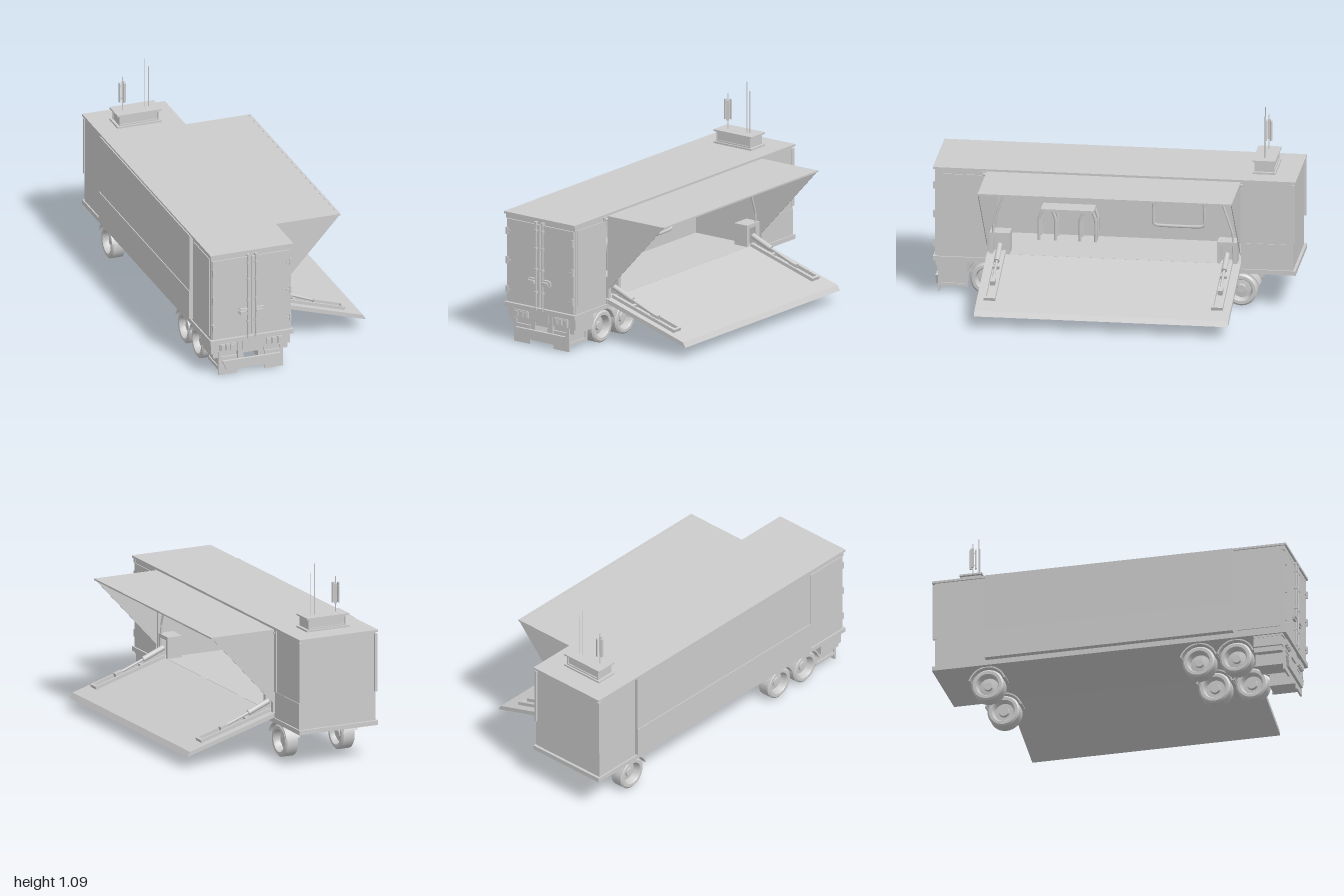
import * as THREE from 'three';
import { toCreasedNormals } from 'three/addons/utils/BufferGeometryUtils.js';

const grey = new THREE.MeshStandardMaterial({ color: 0xcccccc });
const thin = new THREE.MeshStandardMaterial({ color: 0xcccccc, side: THREE.DoubleSide });
const V = (x, y, z) => new THREE.Vector3(x, y, z);
const MID = -0.26; // centre line of the body in x

function add(parent, name, geo, mat = grey) {
  const m = new THREE.Mesh(geo, mat);
  m.name = name;
  parent.add(m);
  return m;
}
// box given by its bounds
function box(parent, name, x0, x1, y0, y1, z0, z1) {
  const g = new THREE.BoxGeometry(x1 - x0, y1 - y0, z1 - z0);
  g.translate((x0 + x1) / 2, (y0 + y1) / 2, (z0 + z1) / 2);
  return add(parent, name, g);
}
// the same box on both sides of the body's centre line
function pair(parent, name, x0, x1, ...r) {
  box(parent, name, x0, x1, ...r);
  box(parent, name, 2 * MID - x1, 2 * MID - x0, ...r);
}
function rod(parent, name, a, b, r, sides = 10) {
  const d = b.clone().sub(a);
  const m = add(parent, name, new THREE.CylinderGeometry(r, r, d.length(), sides));
  m.position.copy(a).add(b).multiplyScalar(0.5);
  m.quaternion.setFromUnitVectors(V(0, 1, 0), d.normalize());
}
function tube(parent, name, pts, r, closed = false) {
  const c = new THREE.CatmullRomCurve3(pts, closed, 'catmullrom', 0.3);
  add(parent, name, new THREE.TubeGeometry(c, 40, r, 6, closed));
}
// outline in x,y drawn out along z
function prism(parent, name, pts, z0, z1, mat = grey) {
  const s = new THREE.Shape(pts.map(p => new THREE.Vector2(...p)));
  const g = new THREE.ExtrudeGeometry(s, { depth: z1 - z0, bevelEnabled: false });
  return add(parent, name, g.translate(0, 0, z0), mat);
}

function buildBody(g) {
  box(g, 'roof', -0.5, -0.02, 0.72, 0.732, -1, 0.985);
  box(g, 'floor', -0.5, -0.02, 0.197, 0.222, -1, 0.985);
  box(g, 'rearCompartment', -0.492, -0.028, 0.22, 0.72, -0.985, -0.7);
  box(g, 'frontCompartment', -0.492, -0.028, 0.22, 0.72, 0.69, 0.965);
  box(g, 'farWall', -0.492, -0.47, 0.22, 0.72, -0.7, 0.69);
  prism(g, 'farSidePanel', [[-0.516, 0.235], [-0.492, 0.23], [-0.492, 0.718], [-0.512, 0.728],
    [-0.511, 0.4], [-0.516, 0.4]], -0.7, 0.69);
  box(g, 'farSideDoor', -0.497, -0.49, 0.24, 0.7, 0.71, 0.95);
  box(g, 'openingHeader', -0.05, -0.026, 0.665, 0.72, -0.7, 0.69);
  box(g, 'openingSill', -0.05, -0.022, 0.222, 0.25, -0.7, 0.69);
  box(g, 'frontSidePanel', -0.03, -0.022, 0.265, 0.695, 0.705, 0.95);
  box(g, 'rearSidePanel', -0.03, -0.024, 0.225, 0.37, -0.985, -0.7);
  box(g, 'rearSidePost', -0.03, -0.02, 0.37, 0.72, -0.72, -0.7);
  pair(g, 'rearCornerBar', -0.497, -0.483, 0.385, 0.71, -0.996, -0.975);
  for (const z of [0.68, 0, -0.68]) {
    box(g, 'canopyHinge', -0.03, -0.019, 0.692, 0.716, z - 0.038, z + 0.038);
    for (const s of [-1, 1])
      rod(g, 'hingePin', V(-0.02, 0.703, z + s * 0.012), V(-0.02, 0.703, z + s * 0.03), 0.007);
  }
}

function buildDoors(g) {
  box(g, 'doorHeader', -0.495, -0.025, 0.695, 0.72, 0.96, 0.975);
  pair(g, 'doorLeaf', -0.487, -0.264, 0.225, 0.692, 0.96, 0.976);
  for (const y of [0.295, 0.46, 0.625]) {
    pair(g, 'doorHinge', -0.488, -0.477, y - 0.02, y + 0.02, 0.962, 0.986);
    pair(g, 'hingeStrap', -0.477, -0.462, y - 0.004, y + 0.004, 0.97, 0.982);
  }
  for (const s of [-1, 1]) {
    const x = MID + s * 0.023;
    rod(g, 'lockingBar', V(x, 0.21, 0.985), V(x, 0.71, 0.985), 0.005);
    for (const y of [0.22, 0.31, 0.44, 0.56, 0.66, 0.705])
      box(g, 'barGuide', x - 0.007, x + 0.007, y - 0.006, y + 0.006, 0.974, 0.994);
    const p = MID + s * 0.047;
    for (const y of [0.353, 0.38]) box(g, 'lockPlate', p - 0.022, p + 0.022, y, y + 0.009, 0.974, 0.99);
    box(g, 'lockPlate', p + s * 0.022 - 0.007, p + s * 0.022 + 0.007, 0.36, 0.382, 0.974, 0.988);
    box(g, 'lockHandle', p - 0.026, p + 0.014, 0.364, 0.377, 0.974, 0.997);
  }
}

function buildBumper(g) {
  box(g, 'lightBar', -0.49, -0.03, 0.185, 0.197, 0.8, 0.965);
  pair(g, 'lightHousing', -0.488, -0.335, 0.133, 0.19, 0.8, 0.96);
  pair(g, 'stepBox', -0.475, -0.34, 0.105, 0.133, 0.8, 0.955);
  pair(g, 'sideBox', -0.44, -0.335, 0.035, 0.108, 0.81, 0.955);
  // frame around the side locker
  for (const y of [0.035, 0.125]) pair(g, 'lockerRail', -0.447, -0.43, y, y + 0.018, 0.8, 0.965);
  for (const z of [0.8, 0.95]) pair(g, 'lockerPost', -0.447, -0.43, 0.035, 0.135, z, z + 0.015);
  pair(g, 'mudFlap', -0.447, -0.34, 0.005, 0.11, 0.955, 0.965);
  for (let i = 0; i < 3; i++) {
    const x = -0.425 + i * 0.031;
    pair(g, 'lampRim', x - 0.014, x + 0.014, 0.147, 0.187, 0.955, 0.972);
    pair(g, 'lamp', x - 0.01, x + 0.01, 0.152, 0.182, 0.965, 0.978);
  }
  box(g, 'plateHolder', -0.307, -0.213, 0.137, 0.197, 0.955, 0.97);
  box(g, 'plateCrossbar', -0.335, -0.185, 0.116, 0.137, 0.945, 0.96);
  pair(g, 'bumperBracket', -0.335, -0.303, 0.085, 0.19, 0.94, 0.965);
  prism(g, 'bumper', [[-0.405, 0.035], [-0.115, 0.035], [-0.092, 0.09], [-0.428, 0.09]], 0.965, 0.98);
}

function buildWheels(g) {
  // tyre with a rim dished on both faces, drawn from the inner hub to the outer one
  const profile = [[0, -0.028], [0.026, -0.028], [0.03, -0.012], [0.052, -0.012], [0.058, -0.032], [0.064, -0.04],
    [0.08, -0.04], [0.09, -0.032], [0.09, 0.032], [0.08, 0.04], [0.064, 0.04], [0.058, 0.03], [0.053, 0],
    [0.025, 0.004], [0.022, 0.018], [0, 0.018]];
  const lathe = new THREE.LatheGeometry(profile.map(p => new THREE.Vector2(...p)), 32);
  const arc = new THREE.Shape();
  arc.absarc(0, 0, 0.108, 0.3, Math.PI - 0.3, false);
  arc.absarc(0, 0, 0.1, Math.PI - 0.3, 0.3, true);
  const fender = new THREE.ExtrudeGeometry(arc, { depth: 0.085, bevelEnabled: false, curveSegments: 16 });
  fender.translate(0, 0, -0.0425).rotateY(Math.PI / 2);
  for (const z of [0.695, 0.487, -0.697]) for (const s of [-1, 1]) {
    const wheel = add(g, 'wheel', toCreasedNormals(lathe.clone().rotateZ(-s * Math.PI / 2), 0.6));
    wheel.position.set(MID + s * 0.172, 0.092, z);
    add(g, 'fender', fender).position.set(MID + s * 0.175, 0.092, z);
  }
}

function buildCanopy(g) {
  box(g, 'canopyRoof', -0.02, 0.36, 0.714, 0.72, -0.7, 0.69);
  box(g, 'canopyLip', 0.35, 0.364, 0.712, 0.721, -0.7, 0.69);
  box(g, 'canopySeam', -0.02, 0.35, 0.711, 0.715, -0.004, 0.004);
  for (const z of [-0.7, 0.686])
    prism(g, 'canopySide', [[-0.02, 0.3], [0.36, 0.716], [-0.02, 0.716]], z, z + 0.004, thin);
  for (const s of [-1, 1]) {
    rod(g, 'canopyStrut', V(-0.03, 0.66, s * 0.575), V(-0.03, 0.42, s * 0.655), 0.006);
    rod(g, 'canopyStrut', V(-0.03, 0.42, s * 0.655), V(-0.03, 0.25, s * 0.66), 0.006);
  }
}

function buildPlatform(g) {
  prism(g, 'foldDownPlatform', [[-0.02, 0.225], [0.511, 0.068], [0.494, 0.096], [-0.02, 0.25]], -0.7, 0.69);
  for (const z of [0.62, -0.625]) {
    // slotted rail lying on the platform
    const rail = new THREE.Group();
    rail.name = 'platformRail';
    rail.position.set(-0.02, 0.25, z);
    rail.rotation.z = -Math.atan2(0.154, 0.514);
    g.add(rail);
    for (const s of [-1, 1]) box(rail, 'railSide', 0, 0.44, 0, 0.018, s * 0.026 - 0.006, s * 0.026 + 0.006);
    for (const x of [0.13, 0.425]) box(rail, 'railEnd', x, x + 0.014, 0, 0.018, -0.026, 0.026);
    box(rail, 'slider', 0.255, 0.3, 0.002, 0.03, -0.014, 0.014);
    // lift cylinder and its mounting
    rod(g, 'liftCylinder', V(-0.025, 0.302, z), V(0.1, 0.25, z), 0.015, 16);
    rod(g, 'liftRod', V(0.1, 0.25, z), V(0.25, 0.191, z), 0.007, 12);
    for (const s of [-1, 1]) box(g, 'liftBracket', -0.1, -0.022, 0.25, 0.37, z + s * 0.045 - 0.01, z + s * 0.045 + 0.01);
    box(g, 'liftBracketTop', -0.1, -0.022, 0.35, 0.37, z - 0.055, z + 0.055);
    box(g, 'liftBracketBack', -0.11, -0.09, 0.25, 0.37, z - 0.055, z + 0.055);
  }
}

function buildInterior(g) {
  const x = -0.44;
  // stowed chairs on the far wall
  for (const [y0, y1] of [[0.48, 0.615], [0.31, 0.465]]) {
    tube(g, 'stowedChairFrame', [[y0, -0.19], [y0, -0.42], [y0 + 0.02, -0.445], [y1 - 0.045, -0.445], [y1, -0.425],
      [y1, -0.19], [y1 - 0.045, -0.168], [y0 + 0.02, -0.168]].map(p => V(x, ...p)), 0.009, true);
    box(g, 'stowedChairSeat', x - 0.03, x - 0.004, y0 + 0.01, y1 - 0.01, -0.43, -0.185);
  }
  box(g, 'chairRack', -0.47, x + 0.02, 0.63, 0.645, -0.43, -0.18);
  for (const z of [-0.25, -0.36]) box(g, 'rackClip', -0.47, x + 0.02, 0.61, 0.66, z - 0.02, z + 0.02);
  // hanging sling under a shelf
  box(g, 'slingShelf', -0.47, -0.4, 0.635, 0.645, 0.28, 0.53);
  for (const z of [0.34, 0.46]) box(g, 'shelfClip', -0.47, -0.4, 0.645, 0.66, z - 0.02, z + 0.02);
  for (const d of [0.09, 0.14])
    tube(g, 'sling', [0, 1, 2, 3, 4, 5, 6, 7, 8].map(i =>
      V(-0.42, 0.635 - d * Math.sin(Math.PI * i / 8), 0.4 - 0.085 * Math.cos(Math.PI * i / 8))), 0.005);
  // bench on two pairs of bent legs
  box(g, 'benchTop', -0.47, -0.36, 0.385, 0.4, 0.15, 0.44);
  for (const [z, s] of [[0.14, 1], [0.225, -1], [0.36, 1], [0.45, -1]]) for (const lx of [-0.45, -0.37])
    tube(g, 'benchLeg', [V(lx, 0.222, z), V(lx, 0.34, z), V(lx, 0.388, z + s * 0.015)], 0.009);
}

function buildRoofUnit(g) {
  const c = -0.812;
  box(g, 'unitBase', -0.388, -0.13, 0.73, 0.742, c - 0.063, c + 0.063);
  box(g, 'unitBody', -0.372, -0.147, 0.742, 0.8, c - 0.048, c + 0.048);
  box(g, 'unitTop', -0.388, -0.13, 0.8, 0.809, c - 0.063, c + 0.063);
  for (const s of [-1, 1]) { // raised rim on the long faces
    const z0 = c + s * 0.05 - 0.004, z1 = z0 + 0.008;
    for (const y of [0.742, 0.792]) box(g, 'unitRim', -0.374, -0.145, y, y + 0.008, z0, z1);
    for (const x of [-0.374, -0.153]) box(g, 'unitRim', x, x + 0.008, 0.742, 0.8, z0, z1);
  }
  rod(g, 'mast', V(-0.337, 0.808, c), V(-0.337, 1.008, c), 0.003, 8);
  for (let i = 0; i < 3; i++) { // antenna panels around the mast
    const a = Math.PI + i * Math.PI * 2 / 3;
    const p = box(g, 'antennaPanel', 0.013, 0.02, 0.86, 0.973, -0.008, 0.008);
    p.position.set(-0.337, 0, c);
    p.rotation.y = a;
    for (const y of [0.88, 0.955])
      rod(g, 'antennaArm', V(-0.337, y, c), V(-0.337 + 0.015 * Math.cos(a), y, c - 0.015 * Math.sin(a)), 0.002, 6);
  }
  rod(g, 'whipAntenna', V(-0.207, 0.808, c), V(-0.207, 1.094, c), 0.0025, 8);
  rod(g, 'whipAntenna', V(-0.185, 0.808, c), V(-0.185, 1.046, c), 0.0025, 8);
}

export function createModel() {
  const model = new THREE.Group();
  model.name = 'expandableTrailer';
  const parts = { body: buildBody, doors: buildDoors, bumperAssembly: buildBumper, wheels: buildWheels,
    canopy: buildCanopy, platform: buildPlatform, interior: buildInterior, roofUnit: buildRoofUnit };
  for (const [name, build] of Object.entries(parts)) {
    const g = new THREE.Group();
    g.name = name;
    build(g);
    model.add(g);
  }
  return model;
}
